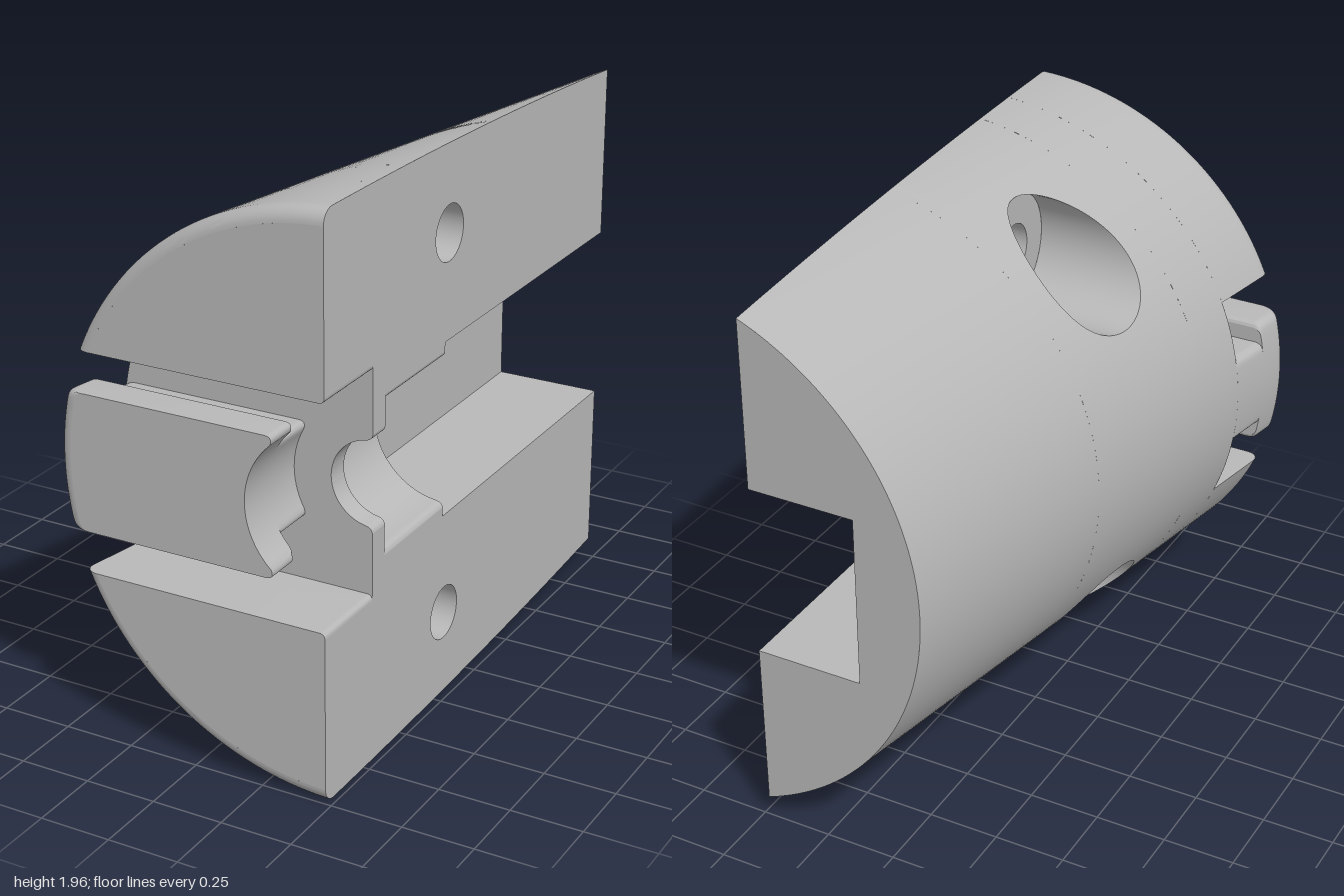
import * as THREE from 'three';
import { mergeGeometries, toCreasedNormals } from 'three/addons/utils/BufferGeometryUtils.js';

// Half of a tilted cylinder, split on a flat plane; y is measured from the mid-height MID.
const MID = 0.98, R = 0.98, FLAT = 0.48, FIL = 0.05;
const SLOT = 0.38, POCKET = 0.307, FLOOR = 0.1;         // half heights, pocket floor x
const HOLE = { y: 0.67, z: 0.2, r: 0.095, R: 0.2, seat: 0.19 };
const { sin, cos, sqrt, PI } = Math;

const axisX = z => 0.67 - 0.18 * z;
const rad = z => z > 1 - FIL ? R - FIL + sqrt(Math.max(0, FIL ** 2 - (z - 1 + FIL) ** 2)) : R;
const outX = (y, z) => axisX(z) - sqrt(rad(z) ** 2 - y * y);
const tMax = z => Math.acos((axisX(z) - FLAT) / rad(z));
const tAt = (y, z) => Math.asin(y / rad(z));
const onOuter = (t, z) => [axisX(z) - rad(z) * cos(t), rad(z) * sin(t), z];
const lerp = THREE.MathUtils.lerp;
const range = (n, f) => Array.from({ length: n + 1 }, (_, i) => f(i / n));
const frontZ = v => 1 - FIL + FIL * sin(v * PI / 2);
const bend = (a, c, b, n = 6) => new THREE.QuadraticBezierCurve(
  new THREE.Vector2(...a), new THREE.Vector2(...c), new THREE.Vector2(...b)).getPoints(n).map(p => [p.x, p.y]);

// Surface patch from a rule f(u, v) -> [x, y, z]
function patch(nu, nv, f) {
  const pos = [], idx = [];
  for (let j = 0; j <= nv; j++) for (let i = 0; i <= nu; i++) pos.push(...f(i / nu, j / nv));
  for (let j = 0; j < nv; j++) for (let i = 0; i < nu; i++) {
    const a = j * (nu + 1) + i, b = a + nu + 1;
    idx.push(a, a + 1, b, a + 1, b + 1, b);
  }
  const g = new THREE.BufferGeometry();
  g.setAttribute('position', new THREE.Float32BufferAttribute(pos, 3));
  return g.setIndex(idx);
}
// Surface between sections, each a list of [x, y, z]
const loft = rows => patch(rows[0].length - 1, rows.length - 1,
  (u, v) => rows[Math.round(v * (rows.length - 1))][Math.round(u * (rows[0].length - 1))]);

// Flat face from 2D points, placed by a rule
function flat(points, place, hole) {
  const s = new THREE.Shape(points.map(p => new THREE.Vector2(...p)));
  if (hole) s.holes.push(hole);
  const g = new THREE.ShapeGeometry(s, 24), p = g.attributes.position;
  for (let i = 0; i < p.count; i++) p.setXYZ(i, ...place(p.getX(i), p.getY(i)));
  g.deleteAttribute('uv');
  g.deleteAttribute('normal');
  return g;
}
const atZ = z => (x, y) => [x, y, z];

function flip(g) {
  const a = g.index.array;
  for (let i = 0; i < a.length; i += 3) [a[i], a[i + 1]] = [a[i + 1], a[i]];
  return g;
}
// Turn a surface toward a point (side 1) or away from it (side -1)
function orient(g, target, side) {
  const p = g.attributes.position, a = g.index.array, t = new THREE.Vector3(...target);
  const tri = new THREE.Triangle(), n = new THREE.Vector3(), m = new THREE.Vector3();
  let sum = 0;
  for (let i = 0; i < a.length; i += 3) {
    tri.setFromAttributeAndIndices(p, a[i], a[i + 1], a[i + 2]);
    tri.getNormal(n);
    tri.getMidpoint(m);
    sum += tri.getArea() * n.dot(t.clone().sub(m).normalize());
  }
  return sum * side < 0 ? flip(g) : g;
}

// Half bore outline from the middle up to the flat face, with a rounded lip
function bore(r) {
  const x = 0.03, a = Math.acos(x / r);
  return [...range(20, u => [FLAT - r * cos(u * a), r * sin(u * a)]),
    ...bend([FLAT - x, r * sin(a)], [FLAT - 0.003, r], [FLAT, r + 0.02]).slice(1)];
}
// Half outline of the clip tab: outer arc, rounded corners, concave inner end
function tabOutline(z, h) {
  const c = 0.03, k = 0.28, xi = FLAT - sqrt(k * k - (h - c) ** 2);
  return [...range(10, u => [outX(u * (h - c), z), u * (h - c)]),
    ...bend([outX(h - c, z), h - c], [outX(h, z), h], [outX(h, z) + c, h]).slice(1),
    ...bend([xi - 0.02, h], [xi + 0.012, h], [xi, h - c]),
    ...range(12, u => { const y = (1 - u) * (h - c); return [FLAT - sqrt(k * k - y * y), y]; }).slice(1)];
}

export function createModel() {
  const model = new THREE.Group();
  const grey = new THREE.MeshStandardMaterial({ color: 0xb8b8b8, side: THREE.DoubleSide });
  grey.name = 'light grey';

  // Adds a surface together with its mirror image below the middle
  const add = (name, g, target, side = 1) => {
    orient(g, target, side);
    const both = mergeGeometries([g, flip(g.clone().scale(1, -1, 1))]);
    const mesh = new THREE.Mesh(toCreasedNormals(both, 0.5), grey);
    mesh.name = name;
    mesh.position.y = MID;
    model.add(mesh);
  };

  // Outer skin, divided around the screw recess and the front slot
  const far = [-5, 3, 0], tS = tAt(SLOT, 0), z0 = -0.1, z1 = 0.5, zs = 0.7;
  const skin = (a, b, lo, hi) => patch(32, 12, (u, v) => {
    const z = lerp(a, b, v);
    return onOuter(lerp(lo(z), hi(z), u), z);
  });
  const zero = () => 0, slotT = z => tAt(SLOT, z);
  const rim = a => {
    const y = HOLE.y + HOLE.R * sin(a), z = HOLE.z + HOLE.R * cos(a);
    return [tAt(y, z), z];
  };
  const around = patch(96, 10, (u, v) => {
    const a = u * 2 * PI, m = Math.max(Math.abs(cos(a)), Math.abs(sin(a)));
    const z = HOLE.z + 0.3 * cos(a) / m, t = lerp(tS, tMax(z), (sin(a) / m + 1) / 2);
    const [ti, zi] = rim(a);
    return onOuter(lerp(ti, t, v), lerp(zi, z, v));
  });
  const lip = patch(32, 8, (u, v) => {
    const z = frontZ(v);
    return onOuter(lerp(slotT(z), tMax(z), u), z);
  });
  const skins = [skin(-1, z0, zero, tMax), skin(z0, z1, zero, () => tS), around,
    skin(z1, zs, zero, tMax), skin(zs, 1 - FIL, slotT, tMax), lip];
  add('outerShell', mergeGeometries(skins.map(g => orient(g, far, 1))), far);

  // Screw recess, seat and through hole
  const { y: hy, z: hz, seat } = HOLE;
  const ring = (x, r, a) => [x, hy + r * sin(a), hz + r * cos(a)];
  add('screwRecess', patch(96, 1, (u, v) => {
    const a = u * 2 * PI, [t, z] = rim(a);
    return ring(lerp(onOuter(t, z)[0], seat, v), HOLE.R, a);
  }), [0.1, hy, hz]);
  add('screwSeat', patch(48, 1, (u, v) => ring(seat, lerp(HOLE.r, HOLE.R, v), u * 2 * PI)), [-5, hy, hz]);
  add('screwHole', patch(48, 1, (u, v) => ring(lerp(seat, FLAT, v), HOLE.r, u * 2 * PI)), [0.33, hy, hz]);

  // Flat split face
  const topY = z => sqrt(rad(z) ** 2 - (axisX(z) - FLAT) ** 2);
  const small = 0.147, big = 0.255, L = 0.02;
  const hole = new THREE.Path().absarc(hz, hy, HOLE.r, 0, 2 * PI, true);
  add('splitFace', flat([[-1, POCKET], [0.22, POCKET], [0.22, big + L], [0.62, big + L],
    [0.62, small + L], [zs, small + L], [zs, SLOT + L], [1, SLOT + L],
    ...range(8, u => [frontZ(1 - u), topY(frontZ(1 - u))]),
    ...range(30, u => lerp(0.94, -1, u)).map(z => [z, topY(z)])],
  (z, y) => [FLAT, y, z], hole), [5, 0.5, 0]);

  // End faces
  const arc = (z, a, b) => range(40, u => onOuter(lerp(a, b, u), z).slice(0, 2));
  const slotRound = bend([FLAT - L, SLOT], [FLAT, SLOT], [FLAT, SLOT + L]);
  add('backFace', flat([...arc(-1, 0, tMax(-1)), [FLAT, POCKET], [FLOOR, POCKET], [FLOOR, 0]],
    atZ(-1)), [0, 0.5, -5]);
  add('frontFace', flat([...arc(1, slotT(1), tMax(1)), ...slotRound.slice().reverse()],
    atZ(1)), [0, 0.5, 5]);

  // Front slot: side walls and rear wall
  const slotZ = [zs, 0.8, 0.9, ...range(8, frontZ)];
  add('slotSide', loft(slotZ.map(z => [[outX(SLOT, z), SLOT, z], ...slotRound.map(p => [...p, z])])),
    [0.5, -5, 0.85]);
  add('slotWall', flat([...arc(zs, 0, tS), ...slotRound, ...bore(small).reverse()], atZ(zs)), [0, 0.2, 5]);

  // Stepped bore
  const along = (pts, ...z) => loft(z.map(k => pts.map(p => [...p, k])));
  add('narrowBore', along(bore(small), 0.62, zs), [0.6, 0, 0.66]);
  add('boreStep', loft([bore(small), bore(big)].map(s => s.map(p => [...p, 0.62]))), [0.3, 0.1, -5]);
  add('wideBore', along(bore(big), 0.22, 0.62), [0.6, 0, 0.42]);

  // Rectangular rear pocket
  add('pocketEnd', flat([[FLOOR, 0], [FLOOR, POCKET], [FLAT, POCKET], ...bore(big).reverse()],
    atZ(0.22)), [0.3, 0.1, -5]);
  add('pocketFloor', patch(1, 1, (u, v) => [FLOOR, u * POCKET, lerp(-1, 0.22, v)]), [5, 0, 0]);
  add('pocketSide', patch(1, 1, (u, v) => [lerp(FLOOR, FLAT, u), POCKET, lerp(-1, 0.22, v)]), [0.3, -5, 0]);

  // Clip tab: narrow neck and wider head
  const neck = 0.165, head = 0.238, zh = 0.86;
  const tab = (h, zList) => loft(zList.map(([z, d]) => tabOutline(z, h - d).map(p => [...p, z])));
  add('tabNeck', tab(neck, [[zs, 0], [zh, 0]]), [0, 0, 0.78], -1);
  add('tabHead', tab(head, [[zh, 0.018], [zh + 0.005, 0.008], [zh + 0.018, 0], [0.92, 0],
    ...range(8, v => [frontZ(v), 0])]), [0, 0, 0.93], -1);
  add('tabHeadBack', flat(tabOutline(zh, head - 0.018), atZ(zh)), [0, 0, -5]);
  add('tabHeadFront', flat(tabOutline(1, head), atZ(1)), [0, 0, 5]);

  return model;
}
